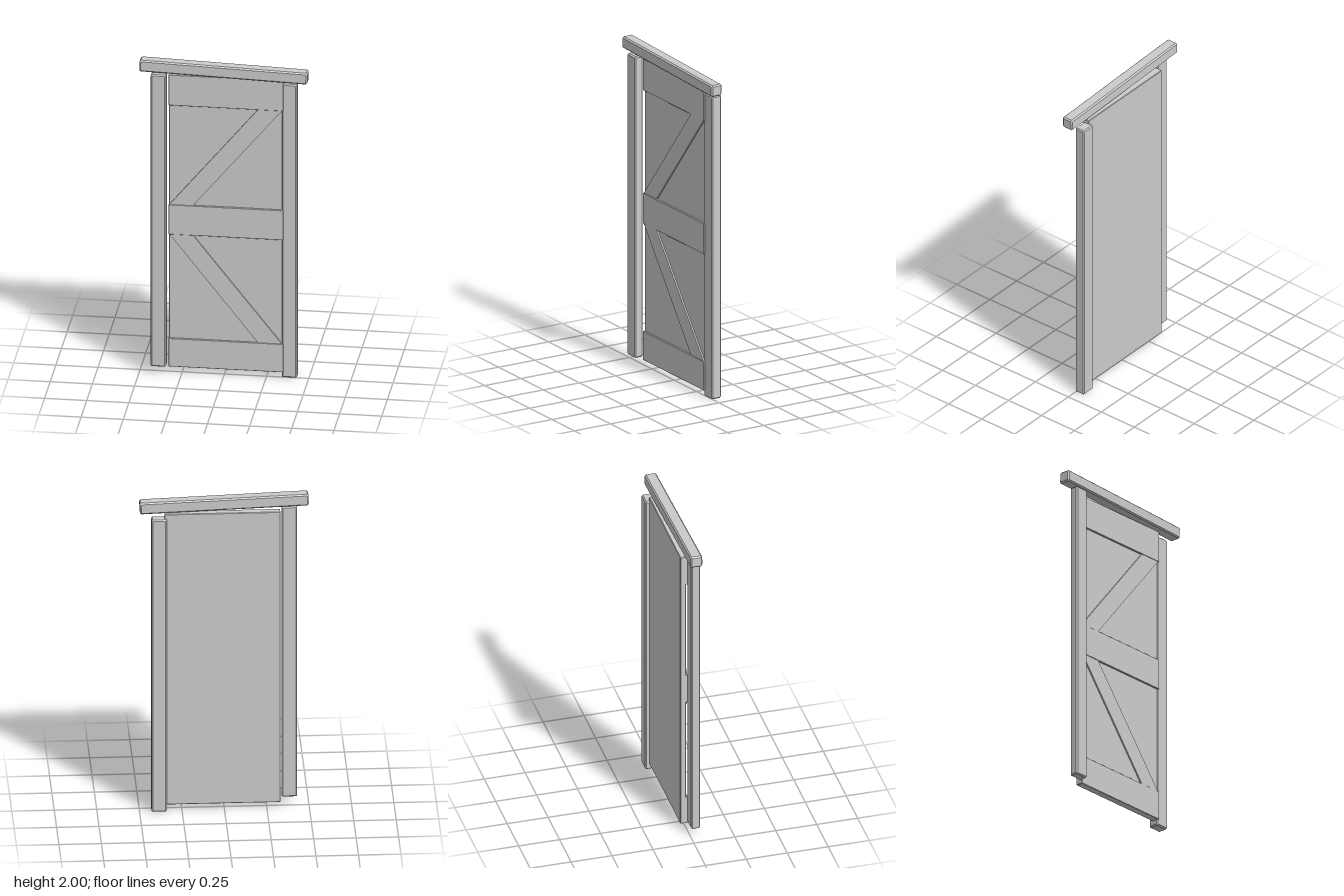
import * as THREE from 'three';

const material = new THREE.MeshStandardMaterial({ color: 0xcccccc, flatShading: true });

// Beam with chamfered edges, centred on its own origin
function beamGeometry(w, h, d, c) {
  const x = w / 2 - c, y = h / 2 - c, k = c * 0.4;
  const outline = [
    [-x + k, -y], [x - k, -y], [x, -y + k], [x, y - k],
    [x - k, y], [-x + k, y], [-x, y - k], [-x, -y + k],
  ].map(p => new THREE.Vector2(...p));
  const geometry = new THREE.ExtrudeGeometry(new THREE.Shape(outline), {
    depth: d - 2 * c, bevelEnabled: true, bevelThickness: c, bevelSize: c, bevelSegments: 1,
  });
  return geometry.translate(0, 0, c - d / 2);
}

export function createModel() {
  const group = new THREE.Group();
  group.name = 'plankDoor';

  const add = (name, geometry) => {
    const mesh = new THREE.Mesh(geometry, material);
    mesh.name = name;
    group.add(mesh);
    return mesh;
  };
  // Beam given by its extents on each axis
  const beam = (name, [x0, x1], [y0, y1], [z0, z1], chamfer) => {
    const mesh = add(name, beamGeometry(x1 - x0, y1 - y0, z1 - z0, chamfer));
    mesh.position.set((x0 + x1) / 2, (y0 + y1) / 2, (z0 + z1) / 2);
    return mesh;
  };

  // Posts: one set forward, one set back and lower
  beam('rightPost', [-0.43, -0.34], [0.05, 1.915], [0.005, 0.06], 0.007);
  beam('leftPost', [0.34, 0.43], [0, 1.875], [-0.06, 0.005], 0.007);

  // Crooked lintel
  const lintel = beam('lintel', [-0.498, 0.497], [1.912, 1.984], [-0.021, 0.051], 0.008);
  lintel.rotation.set(0, 0.006, -0.032);

  // Door leaf and its three rails
  beam('doorPanel', [-0.33, 0.352], [0.035, 1.9], [-0.035, 0], 0.003);
  const rails = { topRail: [1.705, 1.9], middleRail: [0.88, 1.07], bottomRail: [0.035, 0.215] };
  for (const [name, span] of Object.entries(rails)) {
    beam(name, [-0.33, 0.35], span, [-0.01, 0.012], 0.002);
  }

  // Diagonal braces between the rails, meeting at the middle rail
  const brace = (name, yMiddle, yEnd) => {
    const corners = [[-0.325, yMiddle], [-0.185, yMiddle], [0.342, yEnd], [0.2, yEnd]];
    const shape = new THREE.Shape(corners.map(p => new THREE.Vector2(...p)));
    const geometry = new THREE.ExtrudeGeometry(shape, { depth: 0.019, bevelEnabled: false });
    add(name, geometry.translate(0, 0, -0.01));
  };
  brace('upperBrace', 1.07, 1.705);
  brace('lowerBrace', 0.88, 0.215);

  return group;
}
